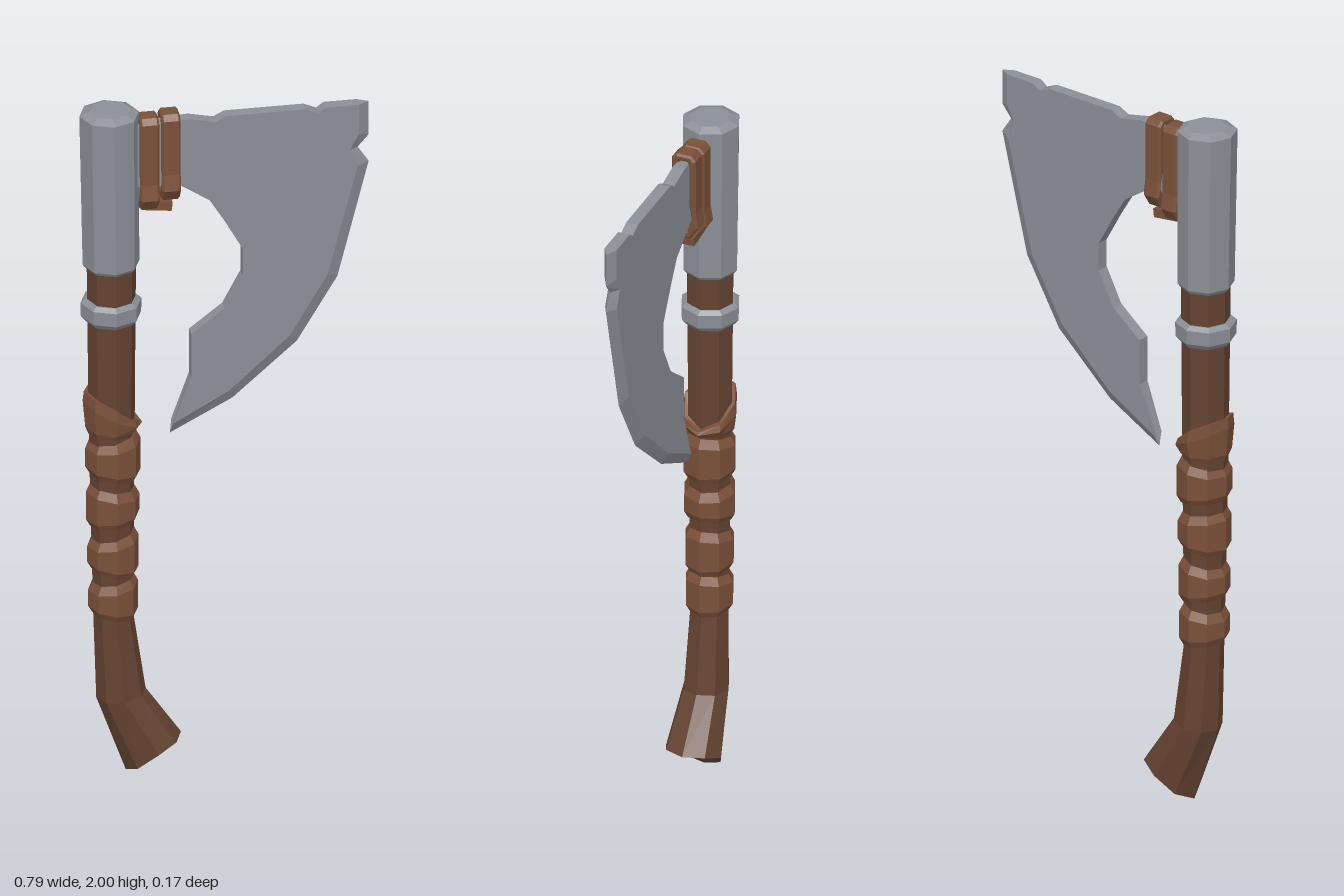
import * as THREE from 'three';

const material = (color) => new THREE.MeshStandardMaterial({ color, flatShading: true });
const steel = material(0x8b8f96);
const wood = material(0x644331);
const leather = material(0x7a5039);

function part(name, geometry, mat) {
  const mesh = new THREE.Mesh(geometry, mat);
  mesh.name = name;
  return mesh;
}

// Joins equal rings of points (bottom to top, or back to front) with quads.
function joinRings(points, index, rings, count) {
  const geometry = new THREE.BufferGeometry();
  for (let r = 0; r < rings - 1; r++) {
    for (let i = 0; i < count; i++) {
      const a = r * count + i, b = r * count + (i + 1) % count;
      index.push(a, b, b + count, a, b + count, a + count);
    }
  }
  geometry.setAttribute('position', new THREE.Float32BufferAttribute(points, 3));
  geometry.setIndex(index);
  const flat = geometry.toNonIndexed();
  flat.computeVertexNormals();
  return flat;
}

// Octagonal loft, bottom to top. Each section may tilt and fold along x.
function loft(sections) {
  const n = 8, points = [], index = [];
  for (const { x = -0.31, y, r, rz = r, tilt = 0, fold = 0 } of sections) {
    for (let i = 0; i < n; i++) {
      const c = Math.cos((i / n) * Math.PI * 2), s = Math.sin((i / n) * Math.PI * 2);
      points.push(x + r * c, y + tilt * c + fold * c * c, -rz * s);
    }
  }
  const first = sections[0], last = sections[sections.length - 1];
  const bottom = points.length / 3, top = bottom + 1, lastRing = bottom - n;
  points.push(first.x ?? -0.31, first.y, 0, last.x ?? -0.31, last.y, 0);
  for (let i = 0; i < n; i++) {
    const j = (i + 1) % n;
    index.push(bottom, j, i, top, lastRing + i, lastRing + j);
  }
  return joinRings(points, index, sections.length, n);
}

// Flat plate whose outline points may carry an inset point, giving a sharp bevel there.
function bladeGeometry() {
  const outline = [ // x, y, optional inset x, y; counter-clockwise
    [-0.15, 1.01, -0.143, 1.045], [0.02, 1.1, 0.008, 1.13], [0.195, 1.255, 0.172, 1.28],
    [0.305, 1.44, 0.275, 1.455], [0.39, 1.78, 0.357, 1.775], [0.36, 1.825, 0.335, 1.825],
    [0.39, 1.86, 0.36, 1.87], [0.39, 1.96, 0.36, 1.96],
    [0.27, 1.96], [0.25, 1.945], [0.215, 1.96], [0, 1.96], [-0.03, 1.945], [-0.1, 1.96],
    [-0.25, 1.95], [-0.25, 1.77], [-0.12, 1.76], [-0.045, 1.71], [-0.005, 1.645],
    [0.045, 1.555], [0.045, 1.475], [-0.005, 1.38], [-0.095, 1.31], [-0.095, 1.18],
  ];
  const half = 0.017, n = outline.length;
  const inset = outline.map(([x, y, ix = x, iy = y]) => new THREE.Vector2(ix, iy));
  const points = [], index = [];
  inset.forEach((p) => points.push(p.x, p.y, -half));
  outline.forEach(([x, y]) => points.push(x, y, 0));
  inset.forEach((p) => points.push(p.x, p.y, half));
  for (const [a, b, c] of THREE.ShapeUtils.triangulateShape(inset, [])) {
    index.push(a, c, b, 2 * n + a, 2 * n + b, 2 * n + c);
  }
  return joinRings(points, index, 3, n);
}

// Leather loop around the neck of the blade, bulging near its lower end.
function bindingLoop(x, width, bottom, top) {
  const loop = (half, flare, lo, hi) => [
    [-half * 0.6, lo], [half * 0.6, lo], [flare, lo + 0.035], [half, lo + 0.08],
    [half, hi - 0.015], [half * 0.6, hi], [-half * 0.6, hi], [-half, hi - 0.015],
    [-half, lo + 0.08], [-flare, lo + 0.035],
  ].map(([u, v]) => new THREE.Vector2(u, v));
  const shape = new THREE.Shape(loop(0.035, 0.043, bottom, top));
  shape.holes.push(new THREE.Path(loop(0.016, 0.024, bottom + 0.025, top - 0.02)));
  const bevel = 0.006;
  const geometry = new THREE.ExtrudeGeometry(shape, {
    depth: width - 2 * bevel, bevelThickness: bevel, bevelSize: bevel,
    bevelOffset: -bevel, bevelSegments: 1,
  });
  geometry.translate(0, 0, bevel - width / 2).rotateY(Math.PI / 2).translate(x, 0, 0);
  return geometry;
}

export function createModel() {
  const model = new THREE.Group();

  // Handle with a flared, folded foot
  model.add(part('handle', loft([
    { x: -0.195, y: 0.08, r: 0.075, rz: 0.08, tilt: 0.05, fold: -0.025 },
    { x: -0.283, y: 0.238, r: 0.067, rz: 0.064, tilt: 0.008 },
    { x: -0.304, y: 0.48, r: 0.054 },
    { x: -0.308, y: 1.0, r: 0.062 },
    { x: -0.309, y: 1.54, r: 0.067 },
  ]), wood));

  // Grip wrapping: four chamfered bands and a slanted one on top
  const grip = new THREE.Group();
  grip.name = 'gripWrap';
  const bands = [
    [0.48, 0.59, 0.068, 0.01], [0.61, 0.725, 0.07, 0.012],
    [0.76, 0.87, 0.073, -0.01], [0.9, 1.02, 0.075, 0.01],
  ];
  bands.forEach(([lo, hi, r, tilt], i) => {
    const x = -0.305;
    grip.add(part(`gripBand${i + 1}`, loft([
      { x, y: lo, r: r - 0.011, tilt: -tilt },
      { x, y: lo + 0.02, r, tilt: -tilt },
      { x, y: hi - 0.025, r, tilt },
      { x, y: hi, r: r - 0.013, tilt },
    ]), leather));
  });
  grip.add(part('slantedGripBand', loft([
    { y: 1.03, r: 0.062 },
    { y: 1.045, r: 0.07, tilt: -0.005 },
    { x: -0.306, y: 1.09, r: 0.081, rz: 0.077, tilt: -0.04 },
    { x: -0.308, y: 1.125, r: 0.076, rz: 0.073, tilt: -0.05, fold: -0.018 },
    { y: 1.125, r: 0.06, tilt: -0.045, fold: -0.018 },
  ]), leather));
  model.add(grip);

  // Steel ring and socket
  model.add(part('handleRing', loft([
    { y: 1.37, r: 0.07 }, { y: 1.385, r: 0.082 },
    { y: 1.425, r: 0.083 }, { y: 1.435, r: 0.07 },
  ]), steel));
  model.add(part('socket', loft([
    { y: 1.53, r: 0.07 }, { y: 1.54, r: 0.077 }, { x: -0.315, y: 1.988, r: 0.081 },
    { x: -0.312, y: 2.0, r: 0.055 },
  ]), steel));

  // Bearded blade with a notched cutting edge
  model.add(part('blade', bladeGeometry(), steel));

  // Leather binding between socket and blade
  const binding = new THREE.Group();
  binding.name = 'bladeBinding';
  binding.add(part('innerLoop', bindingLoop(-0.21, 0.052, 1.7, 1.975), leather));
  binding.add(part('outerLoop', bindingLoop(-0.152, 0.052, 1.725, 1.982), leather));
  const strap = part('lowerStrap', new THREE.BoxGeometry(0.075, 0.025, 0.045), leather);
  strap.position.set(-0.185, 1.708, 0);
  strap.rotation.z = -0.12;
  binding.add(strap);
  model.add(binding);

  return model;
}
